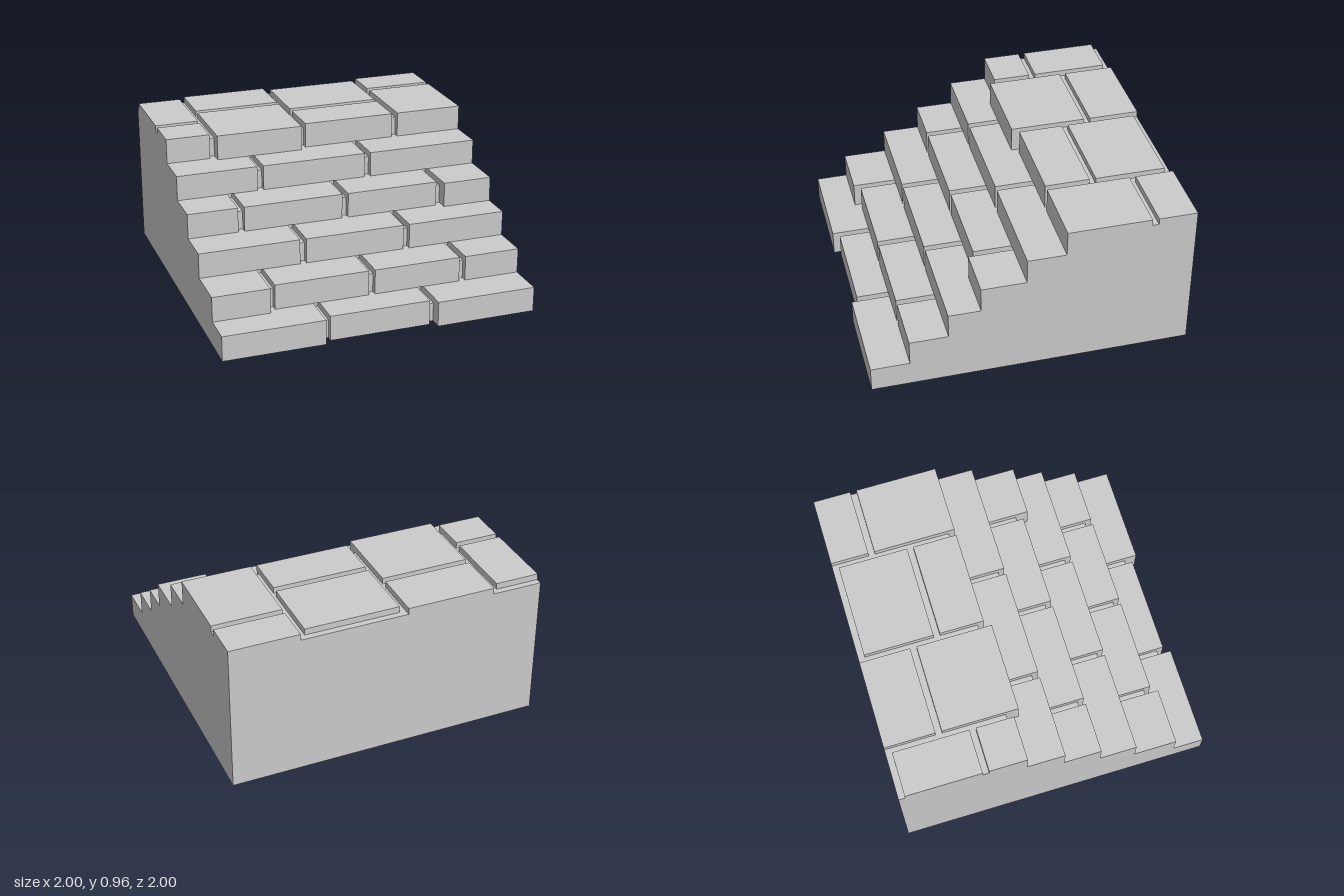
import * as THREE from 'three';

const RISE = 0.16; // height of one step
const GAP = 0.04; // joint width and depth

// Each step: z of the core riser, and stones as [left x, right x, front z]
const steps = [
  { riser: 0.92, stones: [[-1, -0.36, 1], [-0.32, 0.32, 0.96], [0.36, 1, 1]] },
  { riser: 0.72, stones: [[-1, -0.64, 0.8], [-0.6, 0, 0.76], [0.04, 0.6, 0.76], [0.64, 1, 0.76]] },
  { riser: 0.48, stones: [[-1, -0.36, 0.52], [-0.32, 0.32, 0.52], [0.36, 1, 0.52]] },
  { riser: 0.24, stones: [[-1, -0.68, 0.28], [-0.64, 0, 0.28], [0.04, 0.64, 0.28], [0.68, 1, 0.32]] },
  { riser: 0, stones: [[-1, -0.48, 0.04], [-0.44, 0.24, 0.04], [0.28, 1, 0.04]] },
  // Landing stones also carry their own back z
  { riser: -0.24, stones: [[-1, -0.72, -0.2, -0.44], [-0.68, -0.12, -0.16, -0.64], [-0.08, 0.52, -0.2, -0.48], [0.56, 1, -0.2, -0.72]] },
];

// Rear landing slabs: left x, right x, front z, back z
const slabs = [
  [-1, -0.72, -0.48, -0.96],
  [-0.68, -0.12, -0.68, -1],
  [-0.08, 0.52, -0.52, -0.96],
  [0.56, 1, -0.76, -1],
];

export function createModel() {
  const model = new THREE.Group();
  const material = new THREE.MeshStandardMaterial({ color: 0xcccccc, flatShading: true });

  // Extrudes a (z, y) side profile from x0 to x1
  function prism(name, profile, x0, x1) {
    const shape = new THREE.Shape(profile.map(([z, y]) => new THREE.Vector2(z, y)));
    const geometry = new THREE.ExtrudeGeometry(shape, { depth: x1 - x0, bevelEnabled: false });
    geometry.rotateY(-Math.PI / 2).translate(x1, 0, 0);
    const mesh = new THREE.Mesh(geometry, material);
    mesh.name = name;
    model.add(mesh);
  }

  // Solid stepped core, set back behind the stones by the joint depth
  const core = [[-1, 0]];
  steps.forEach(({ riser }, i) => {
    core.push([riser, i ? i * RISE - GAP : 0], [riser, (i + 1) * RISE - GAP]);
  });
  const top = steps.length * RISE;
  core.push([-1, top - GAP]);
  prism('core', core, -1, 1);

  // L-shaped stones wrapping the nose of each step
  steps.forEach(({ riser, stones }, i) => {
    const y0 = i * RISE, y1 = y0 + RISE;
    for (const [x0, x1, front, ownBack] of stones) {
      const back = ownBack ?? steps[i + 1].riser;
      prism('stepStone', [
        [front, y0], [front, y1], [back, y1], [back, y1 - GAP], [riser, y1 - GAP], [riser, y0],
      ], x0, x1);
    }
  });

  // Flat slabs at the rear of the landing
  for (const [x0, x1, front, back] of slabs) {
    prism('landingSlab', [[front, top - GAP], [front, top], [back, top], [back, top - GAP]], x0, x1);
  }

  return model;
}
